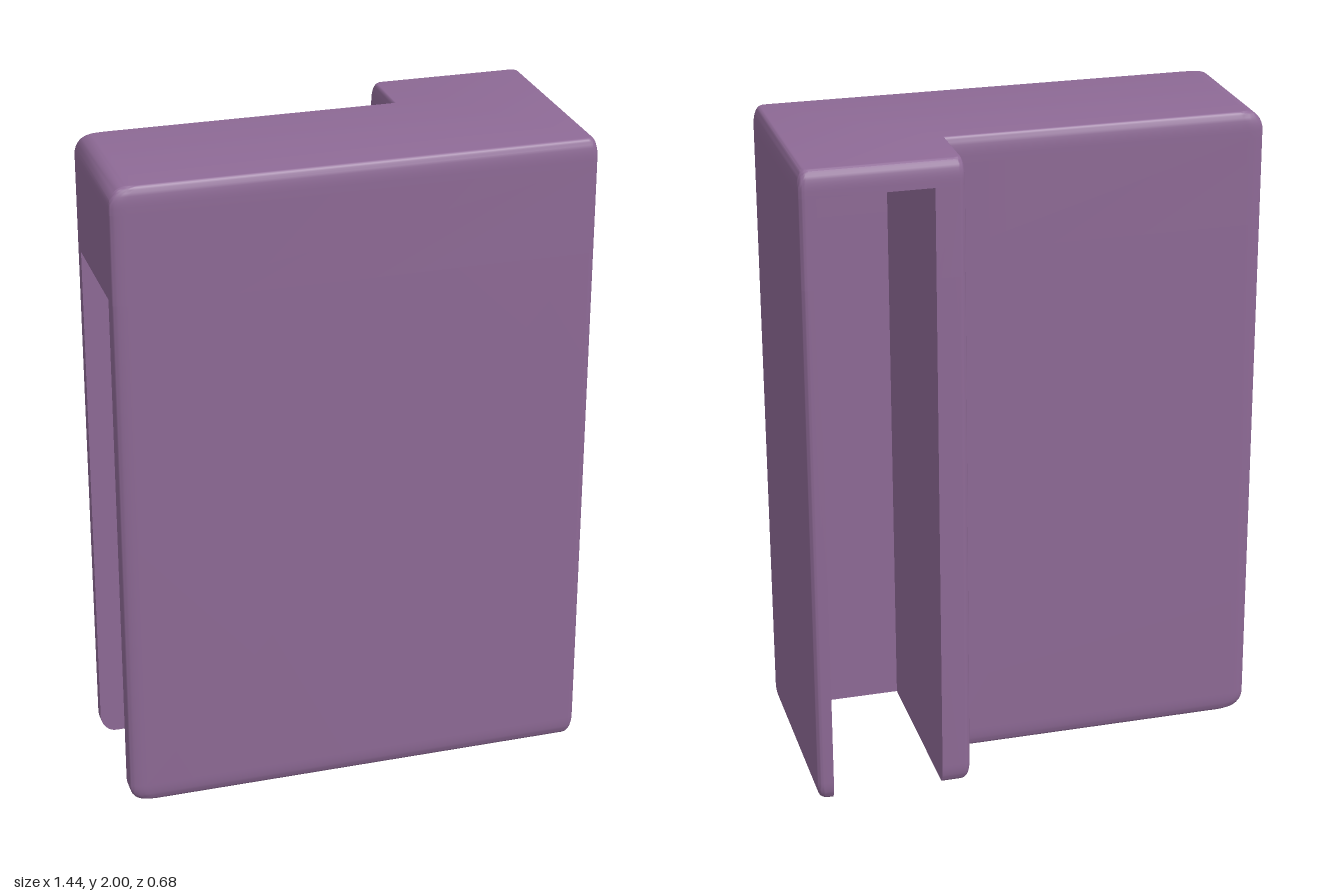
import * as THREE from 'three';
import { toCreasedNormals } from 'three/addons/utils/BufferGeometryUtils.js';

const HEIGHT = 2, EDGE = 0.06, STEPS = 8;
const LEG_SLOT = { x0: 0.33, x1: 0.67, z: 0.27, top: 1.92 };
const SIDE_SLOT = { x: -0.23, z0: -0.09, z1: 0.28, top: 1.65 };

// Quarter-ellipse corner turning from direction angle a, centred inside the corner
function corner(x, z, rx, rz, a) {
  const cx = x - Math.sign(Math.cos(a + Math.PI / 4)) * rx;
  const cz = z + Math.sign(Math.sin(a + Math.PI / 4)) * rz;
  return Array.from({ length: STEPS + 1 }, (_, i) => {
    const t = a + (i / STEPS) * Math.PI / 2;
    return [cx + rx * Math.cos(t), cz - rz * Math.sin(t)];
  });
}

// L-shaped plan with optional slots; k insets the outer faces for the rounded rims
function plan(k, legSlot, sideSlot) {
  const left = -0.72 + 0.05 * k, right = 0.72 - 0.02 * k;
  const front = 0.34 - 0.015 * k, back = -0.14 + 0.015 * k;
  const legBack = -0.34 + 0.02 * k, legLeft = 0.24 + 0.015 * k;
  const q = Math.PI / 2;
  const L = LEG_SLOT, S = SIDE_SLOT;
  return [
    ...corner(left, front, 0.05, 0.015, 2 * q),
    ...corner(right, front, 0.02, 0.02, 3 * q),
    ...corner(right, legBack, 0.02, 0.02, 0),
    ...(legSlot ? [[L.x1, legBack], [L.x1, L.z], [L.x0, L.z], [L.x0, legBack]] : []),
    ...corner(legLeft, legBack, 0.02, 0.02, q),
    [legLeft, back],
    ...corner(left, back, 0.05, 0.015, q),
    ...(sideSlot ? [[left, S.z0], [S.x, S.z0], [S.x, S.z1], [left, S.z1]] : []),
  ];
}

// Walls through a list of { y, k } levels, with an optional cap at either end
function loft(levels, legSlot, sideSlot, capBottom, capTop) {
  const pos = [];
  const rings = levels.map(({ y, k }) => plan(k, legSlot, sideSlot).map(([x, z]) => [x, y, z]));
  for (let r = 0; r < rings.length - 1; r++) {
    const lo = rings[r], hi = rings[r + 1], n = lo.length;
    for (let i = 0; i < n; i++) {
      const j = (i + 1) % n;
      pos.push(...lo[i], ...lo[j], ...hi[j], ...lo[i], ...hi[j], ...hi[i]);
    }
  }
  const cap = (ring, flip) => {
    const outline = ring.map(([x, , z]) => new THREE.Vector2(x, -z));
    for (const [a, b, c] of THREE.ShapeUtils.triangulateShape(outline, [])) {
      pos.push(...ring[a], ...ring[flip ? c : b], ...ring[flip ? b : c]);
    }
  };
  if (capBottom) cap(rings[0], true);
  if (capTop) cap(rings[rings.length - 1], false);
  const geo = new THREE.BufferGeometry();
  geo.setAttribute('position', new THREE.Float32BufferAttribute(pos, 3));
  return toCreasedNormals(geo, 0.75);
}

// Elliptical rim levels, from the flat end (k = 1) to the full outline (k = 0)
const rim = Array.from({ length: STEPS + 1 }, (_, i) => {
  const t = (i / STEPS) * Math.PI / 2;
  return { y: EDGE * (1 - Math.sin(t)), k: 1 - Math.cos(t) };
}).reverse().map((_, i, all) => all[all.length - 1 - i]);

export function createModel() {
  const group = new THREE.Group();
  group.name = 'cornerHousing';
  const material = new THREE.MeshStandardMaterial({ color: 0x8e6a96 });
  const add = (name, geo) => {
    const mesh = new THREE.Mesh(geo, material);
    mesh.name = name;
    group.add(mesh);
    return mesh;
  };
  const bottomRim = [...rim].sort((a, b) => a.y - b.y);
  const topRim = [...rim].sort((a, b) => b.y - a.y).map(({ y, k }) => ({ y: HEIGHT - y, k }));

  // Lower body with both slots, open at the bottom
  add('lowerBody', loft([...bottomRim, { y: SIDE_SLOT.top, k: 0 }], true, true, true, false));
  // Upper body above the side slot
  add('upperBody', loft([{ y: SIDE_SLOT.top, k: 0 }, { y: LEG_SLOT.top, k: 0 }], true, false, false, false));
  // Closed, rounded top
  add('topCover', loft([{ y: LEG_SLOT.top, k: 0 }, ...topRim], false, false, false, true));

  // Slot ceilings, facing down
  const ceiling = (name, x0, x1, z0, z1, y) => {
    const mesh = add(name, new THREE.PlaneGeometry(x1 - x0, z1 - z0).rotateX(Math.PI / 2));
    mesh.position.set((x0 + x1) / 2, y, (z0 + z1) / 2);
  };
  ceiling('sideSlotCeiling', -0.72, SIDE_SLOT.x, SIDE_SLOT.z0, SIDE_SLOT.z1, SIDE_SLOT.top);
  ceiling('legSlotCeiling', LEG_SLOT.x0, LEG_SLOT.x1, -0.34, LEG_SLOT.z, LEG_SLOT.top);
  return group;
}
